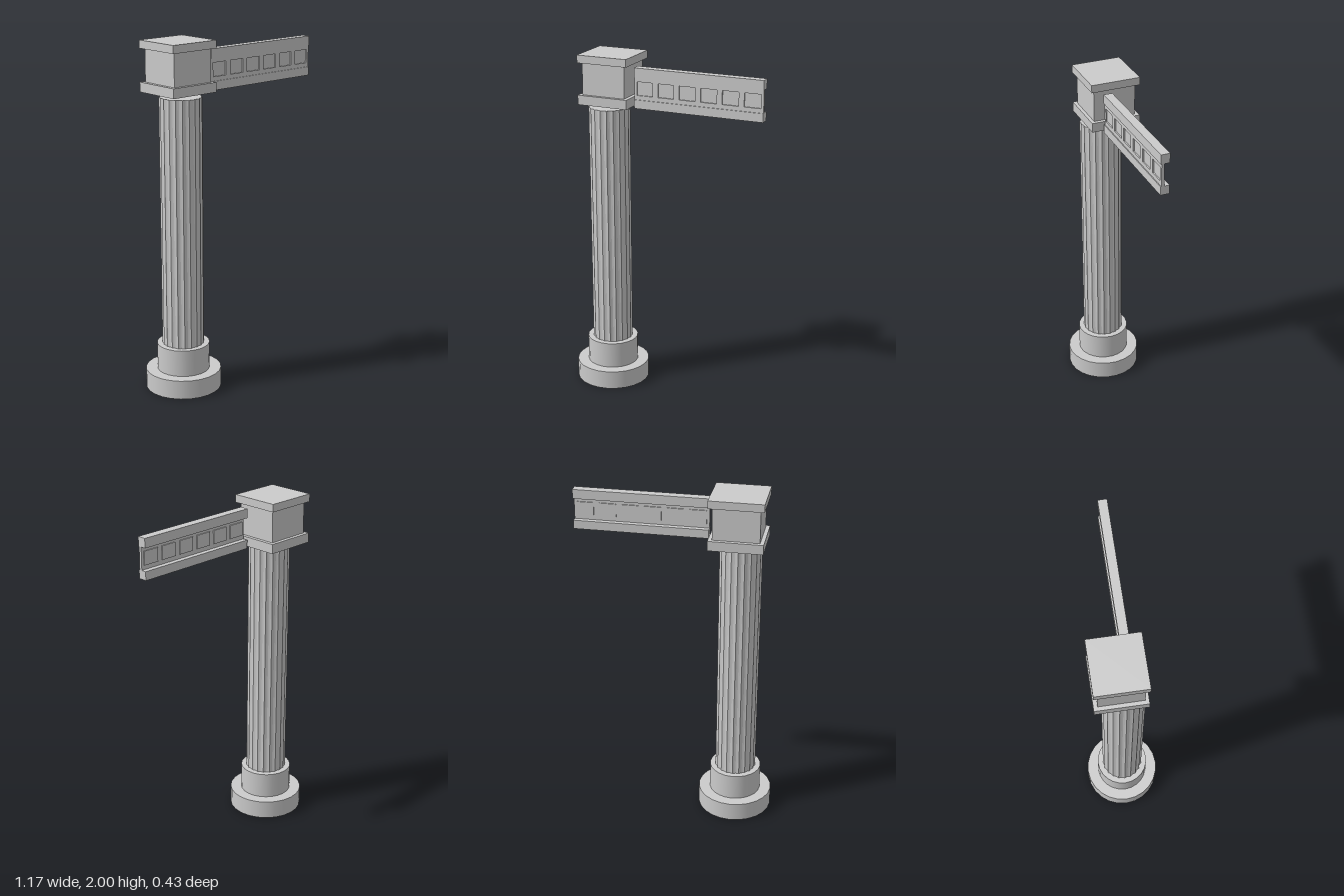
import * as THREE from 'three';

const material = new THREE.MeshStandardMaterial({ color: 0xcccccc });

function add(parent, name, geometry, x, y, z) {
  const mesh = new THREE.Mesh(geometry, material);
  mesh.name = name;
  mesh.position.set(x, y, z);
  parent.add(mesh);
  return mesh;
}

// Box given by its lower and upper limits on each axis
function addBox(parent, name, [x0, x1], [y0, y1], [z0, z1]) {
  return add(parent, name, new THREE.BoxGeometry(x1 - x0, y1 - y0, z1 - z0),
    (x0 + x1) / 2, (y0 + y1) / 2, (z0 + z1) / 2);
}

// Scalloped outline of the column shaft
function flutedShape(radius, flutes, depth) {
  const points = [];
  const steps = 4;
  for (let i = 0; i < flutes * steps; i++) {
    const a = (i / (flutes * steps)) * Math.PI * 2;
    const r = radius - depth * Math.sin(((i % steps) / steps) * Math.PI);
    points.push(new THREE.Vector2(Math.cos(a) * r, Math.sin(a) * r));
  }
  return new THREE.Shape(points);
}

function rectangle(Type, x0, y0, x1, y1) {
  return new Type([[x0, y0], [x1, y0], [x1, y1], [x0, y1]].map(([x, y]) => new THREE.Vector2(x, y)));
}

export function createModel() {
  const model = new THREE.Group();
  model.name = 'columnWithBeam';

  // Round stepped base and fluted shaft
  const column = new THREE.Group();
  column.name = 'column';
  model.add(column);
  const cx = -0.367;
  add(column, 'plinth', new THREE.CylinderGeometry(0.217, 0.217, 0.11, 24), cx, 0.055, 0);
  add(column, 'baseDrum', new THREE.CylinderGeometry(0.151, 0.151, 0.155, 24), cx, 0.1875, 0);
  const shaft = new THREE.ExtrudeGeometry(flutedShape(0.12, 20, 0.006), { depth: 1.43, bevelEnabled: false });
  shaft.rotateX(-Math.PI / 2);
  add(column, 'shaft', shaft, cx, 0.265, 0);

  // Square capital: a block between two slabs
  const capital = new THREE.Group();
  capital.name = 'capital';
  model.add(capital);
  addBox(capital, 'lowerSlab', [-0.51, -0.205], [1.715, 1.77], [-0.175, 0.113]);
  addBox(capital, 'capitalBlock', [-0.488, -0.227], [1.77, 1.955], [-0.153, 0.093]);
  addBox(capital, 'upperSlab', [-0.51, -0.205], [1.955, 2], [-0.175, 0.113]);

  // Channel beam, open to the back
  const beam = new THREE.Group();
  beam.name = 'beam';
  model.add(beam);
  const x0 = -0.185, x1 = 0.582;
  addBox(beam, 'lowerFlange', [x0, x1], [1.712, 1.762], [0, 0.051]);
  addBox(beam, 'upperFlange', [x0, x1], [1.89, 1.944], [0, 0.051]);

  // Web with a row of panels, sunk at the front and raised at the back
  const web = rectangle(THREE.Shape, x0, 1.762, x1, 1.89);
  const count = 6, pitch = (x1 - x0) / count, half = 0.048;
  for (let i = 0; i < count; i++) {
    const x = x0 + pitch * (i + 0.5);
    web.holes.push(rectangle(THREE.Path, x - half, 1.787, x + half, 1.865));
    addBox(beam, 'panel', [x - half, x + half], [1.787, 1.865], [0.024, 0.038]);
  }
  add(beam, 'web', new THREE.ExtrudeGeometry(web, { depth: 0.016, bevelEnabled: false }), 0, 0, 0.03);

  return model;
}
